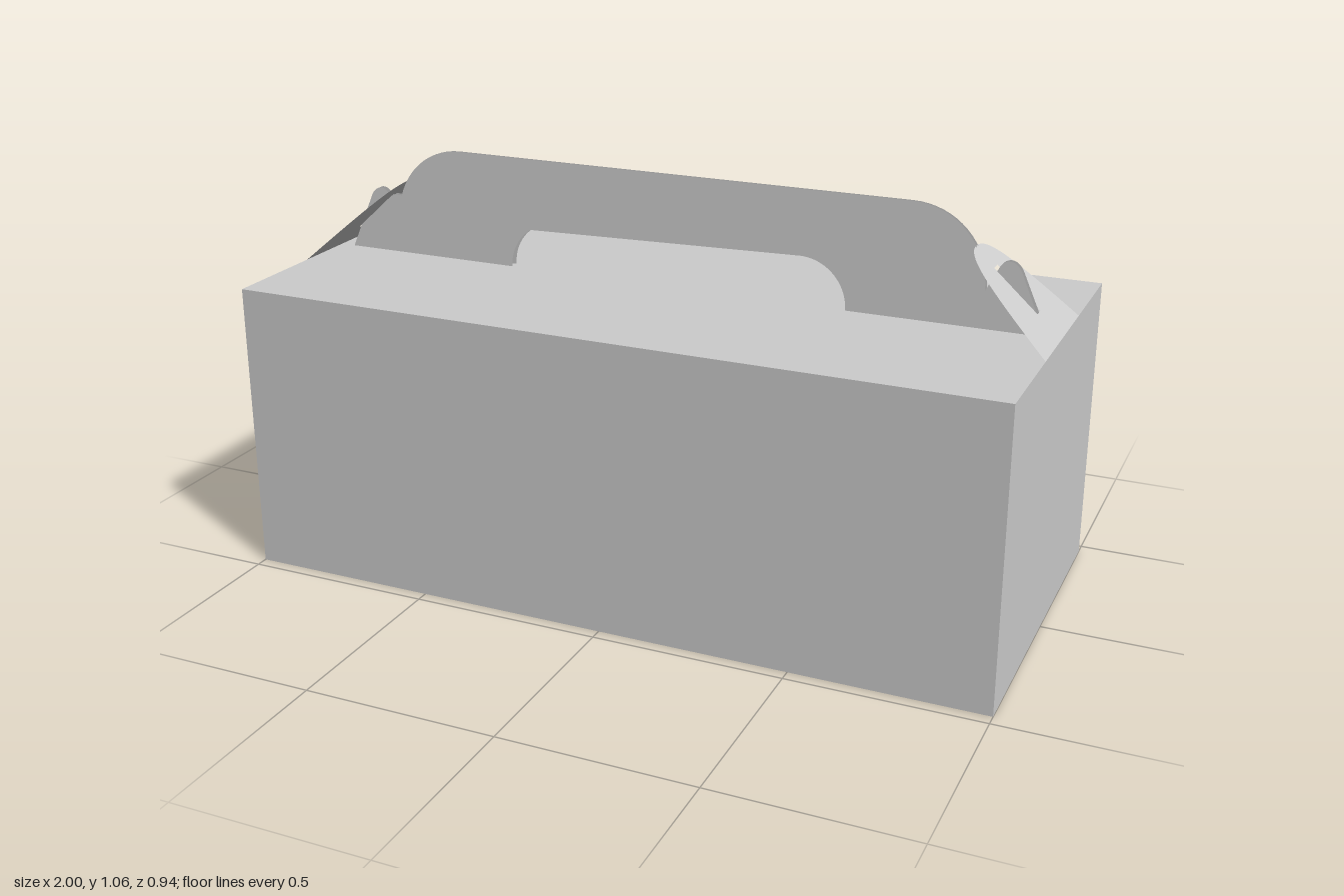
import * as THREE from 'three';

const TOP = 0.765; // height of the box body

export function createModel() {
  const group = new THREE.Group();
  const card = new THREE.MeshStandardMaterial({ color: 0xcccccc, side: THREE.DoubleSide });
  card.name = 'grey card';

  const add = (name, geometry) => {
    const mesh = new THREE.Mesh(geometry, card);
    mesh.name = name;
    group.add(mesh);
  };

  // Closed carton body
  const body = new THREE.BoxGeometry(2, TOP, 0.936);
  body.translate(0, TOP / 2, 0);
  add('body', body);

  // Handle outline with a hook at each end and a grip cut up from the base
  const handle = new THREE.Shape();
  handle.moveTo(-0.96, TOP);
  handle.lineTo(-0.895, 0.915);
  handle.bezierCurveTo(-0.88, 0.945, -0.85, 0.945, -0.838, 0.915);
  handle.lineTo(-0.81, 0.86);
  handle.bezierCurveTo(-0.81, 0.97, -0.73, 1.058, -0.62, 1.058);
  handle.lineTo(0.62, 1.058);
  handle.bezierCurveTo(0.73, 1.058, 0.81, 0.97, 0.81, 0.86);
  handle.lineTo(0.838, 0.915);
  handle.bezierCurveTo(0.85, 0.945, 0.88, 0.945, 0.895, 0.915);
  handle.lineTo(0.96, TOP);
  handle.lineTo(0.465, TOP);
  handle.absarc(0.343, TOP + 0.003, 0.122, 0, Math.PI / 2, false);
  handle.absarc(-0.343, TOP + 0.003, 0.122, Math.PI / 2, Math.PI, false);
  handle.lineTo(-0.465, TOP);
  handle.closePath();

  // Two sheets leaning together at the top
  for (const side of [1, -1]) {
    const sheet = new THREE.ShapeGeometry(handle, 16);
    const p = sheet.attributes.position;
    for (let i = 0; i < p.count; i++) {
      p.setZ(i, side * (0.012 - 0.028 * (p.getY(i) - TOP)));
    }
    sheet.computeVertexNormals();
    add(side > 0 ? 'frontHandle' : 'backHandle', sheet);
  }

  // Locking flap outline, drawn in z and y, with a slot for the hooks
  const flap = new THREE.Shape();
  flap.moveTo(-0.18, TOP);
  flap.bezierCurveTo(-0.12, 0.915, -0.085, 0.965, 0, 0.965);
  flap.bezierCurveTo(0.085, 0.965, 0.12, 0.915, 0.18, TOP);
  flap.closePath();
  const slot = new THREE.Path();
  slot.moveTo(-0.015, 0.82);
  slot.lineTo(0.015, 0.82);
  slot.lineTo(0.015, 0.92);
  slot.lineTo(-0.015, 0.92);
  slot.closePath();
  flap.holes.push(slot);

  // Flaps hinge on the end edges and tilt inward
  for (const side of [1, -1]) {
    const sheet = new THREE.ShapeGeometry(flap, 16);
    const p = sheet.attributes.position;
    for (let i = 0; i < p.count; i++) {
      const across = p.getX(i), y = p.getY(i);
      p.setXYZ(i, side * (1 - 1.1 * (y - TOP)), y, -side * across);
    }
    sheet.computeVertexNormals();
    add(side > 0 ? 'leftFlap' : 'rightFlap', sheet);
  }

  return group;
}
